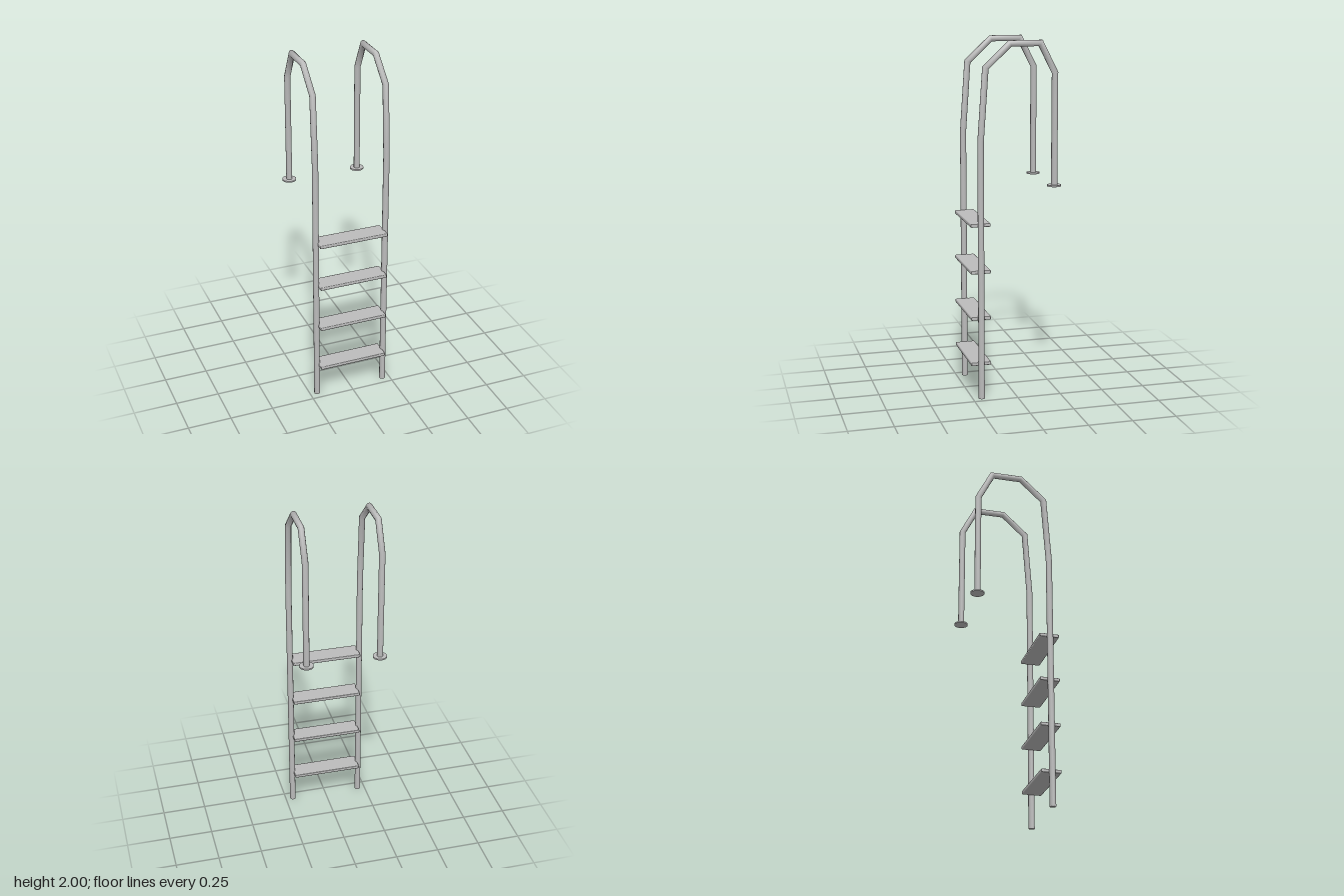
import * as THREE from 'three';
import { RoundedBoxGeometry } from 'three/addons/geometries/RoundedBoxGeometry.js';

const RAIL_X = 0.207, RAIL_R = 0.0175, SIDES = 10;

// Rail centre line as [y, z], from the foot over the top to the deck
const PATH = [[0, 0.2], [1.46, 0.2], [1.857, 0.172], [1.983, 0.036],
  [1.983, -0.135], [1.822, -0.217], [1.2, -0.217]];

// Round tube swept along the bent path with mitred joints and closed ends
function railGeometry() {
  const pts = PATH.map(([y, z]) => new THREE.Vector2(y, z));
  const pos = [], index = [];
  const n = pts.length;
  pts.forEach((p, i) => {
    const a = pts[Math.max(i - 1, 0)], b = pts[Math.min(i + 1, n - 1)];
    const before = (i ? p.clone().sub(a) : b.clone().sub(p)).normalize();
    const after = (i < n - 1 ? b.clone().sub(p) : before.clone()).normalize();
    const t = before.clone().add(after).normalize();
    const stretch = 1 / t.dot(before);
    for (let j = 0; j < SIDES; j++) {
      const ang = (j / SIDES) * Math.PI * 2;
      const v = Math.sin(ang) * RAIL_R * stretch;
      pos.push(Math.cos(ang) * RAIL_R, p.x + t.y * v, p.y - t.x * v);
    }
  });
  const foot = pos.length / 3, end = foot + 1, last = (n - 1) * SIDES;
  pos.push(0, ...PATH[0], 0, ...PATH[n - 1]);
  for (let j = 0; j < SIDES; j++) {
    const k = (j + 1) % SIDES;
    for (let i = 0; i < n - 1; i++) {
      const r = i * SIDES, s = r + SIDES;
      index.push(r + j, r + k, s + j, r + k, s + k, s + j);
    }
    index.push(foot, k, j, end, last + j, last + k);
  }
  const g = new THREE.BufferGeometry();
  g.setAttribute('position', new THREE.Float32BufferAttribute(pos, 3));
  g.setIndex(index);
  g.computeVertexNormals();
  return g;
}

export function createModel() {
  const model = new THREE.Group();
  model.name = 'poolLadder';
  const steel = new THREE.MeshStandardMaterial({ color: 0xbcbcbc });
  steel.name = 'steel grey';

  const add = (name, geometry, x, y, z) => {
    const mesh = new THREE.Mesh(geometry, steel);
    mesh.name = name;
    mesh.position.set(x, y, z);
    model.add(mesh);
  };

  // Handrails and the round flanges that fix them to the deck
  const rail = railGeometry();
  const flange = new THREE.CylinderGeometry(0.04, 0.04, 0.008, 12);
  for (const [side, s] of [['left', 1], ['right', -1]]) {
    add(side + 'Rail', rail, s * RAIL_X, 0, 0);
    add(side + 'Flange', flange, s * RAIL_X, 1.201, -0.217);
  }

  // Four flat treads with softened edges
  const tread = new RoundedBoxGeometry(0.4, 0.02, 0.113, 1, 0.005);
  for (let i = 0; i < 4; i++) add('step' + (i + 1), tread, 0, 0.2 + i * 0.265, 0.1985);

  return model;
}
